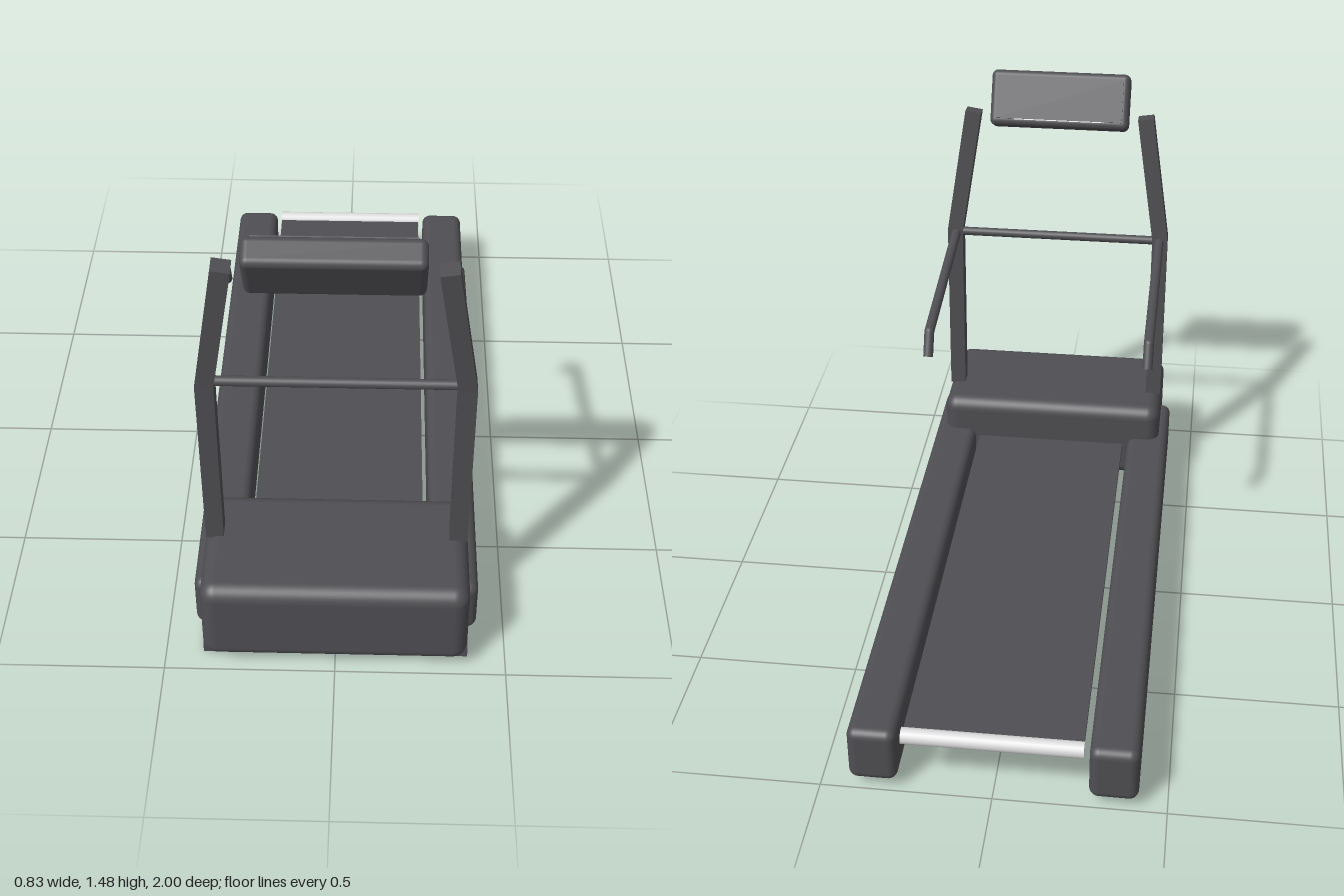
import * as THREE from 'three';
import { RoundedBoxGeometry } from 'three/addons/geometries/RoundedBoxGeometry.js';

const charcoal = new THREE.MeshStandardMaterial({ color: 0x4f4e52 });
charcoal.name = 'charcoal';
const silver = new THREE.MeshStandardMaterial({ color: 0xdedede });
silver.name = 'silver';

function add(parent, name, geometry, material, x = 0, y = 0, z = 0) {
  const mesh = new THREE.Mesh(geometry, material);
  mesh.name = name;
  mesh.position.set(x, y, z);
  parent.add(mesh);
  return mesh;
}

// Round bar between two points
function rod(parent, name, a, b, radius, material) {
  const start = new THREE.Vector3(...a), end = new THREE.Vector3(...b);
  const dir = end.clone().sub(start);
  const mesh = add(parent, name, new THREE.CylinderGeometry(radius, radius, dir.length(), 20), material);
  mesh.position.copy(start).add(end).multiplyScalar(0.5);
  mesh.quaternion.setFromUnitVectors(new THREE.Vector3(0, 1, 0), dir.normalize());
  return mesh;
}

// Square post bent inwards halfway: each level of a four-sided column moves to its own centre
function postGeometry(side) {
  const levels = [[0.355, 0.325, 0.755], [0.355, 0.93, 0.775], [0.29, 1.353, 0.81]];
  const tilts = [0, 0.06, 0.15];
  const geo = new THREE.CylinderGeometry(0.0368, 0.0368, 2, 4, 2).rotateY(Math.PI / 4);
  const p = geo.attributes.position;
  for (let i = 0; i < p.count; i++) {
    const k = Math.round(p.getY(i) + 1);
    const [cx, cy, cz] = levels[k];
    const x = p.getX(i), z = p.getZ(i);
    p.setXYZ(i, side * cx + x, cy + side * x * tilts[k] - z * 0.08, cz + z);
  }
  const flat = geo.toNonIndexed();
  flat.computeVertexNormals();
  return flat;
}

export function createModel() {
  const model = new THREE.Group();
  model.name = 'treadmill';

  // Motor housing and running deck
  add(model, 'motorHousing', new RoundedBoxGeometry(0.77, 0.28, 0.4, 5, 0.045), charcoal, 0, 0.19, 0.8);
  add(model, 'runningBelt', new THREE.BoxGeometry(0.515, 0.02, 1.545), charcoal, 0, 0.19, -0.195);
  rod(model, 'rearRoller', [-0.26, 0.193, -0.975], [0.26, 0.193, -0.975], 0.024, silver);

  for (const side of [1, -1]) {
    const half = new THREE.Group();
    half.name = side > 0 ? 'leftSide' : 'rightSide';
    model.add(half);

    // Side rail and feet
    add(half, 'sideRail', new RoundedBoxGeometry(0.142, 0.18, 1.86, 5, 0.028), charcoal, side * 0.346, 0.12, -0.07);
    for (const z of [0.87, -0.865]) {
      add(half, 'foot', new THREE.BoxGeometry(0.095, 0.035, 0.13), charcoal, side * 0.342, 0.0175, z);
    }

    // Upright post and bent handle
    add(half, 'uprightPost', postGeometry(side), charcoal);
    const x = side * 0.352, bend = [x, 0.85, 0.175];
    rod(half, 'handleArm', [x, 0.923, 0.77], bend, 0.016, charcoal);
    rod(half, 'handleGrip', bend, [x, 0.778, 0.138], 0.016, charcoal);
    add(half, 'handleElbow', new THREE.SphereGeometry(0.016, 16, 10), charcoal, ...bend);
  }

  rod(model, 'crossbar', [-0.345, 0.923, 0.765], [0.345, 0.923, 0.765], 0.0145, charcoal);

  // Tilted console with its display facing the runner
  const consoleGroup = new THREE.Group();
  consoleGroup.name = 'console';
  consoleGroup.position.set(0, 1.385, 0.847);
  consoleGroup.rotation.x = 0.48;
  model.add(consoleGroup);
  add(consoleGroup, 'consoleBody', new RoundedBoxGeometry(0.465, 0.185, 0.085, 5, 0.02), charcoal);
  add(consoleGroup, 'displayPanel', new THREE.BoxGeometry(0.42, 0.14, 0.008), charcoal, 0, 0, -0.045);
  add(consoleGroup, 'displayTrim', new THREE.BoxGeometry(0.3, 0.004, 0.006), silver, 0, -0.071, -0.045);

  return model;
}
